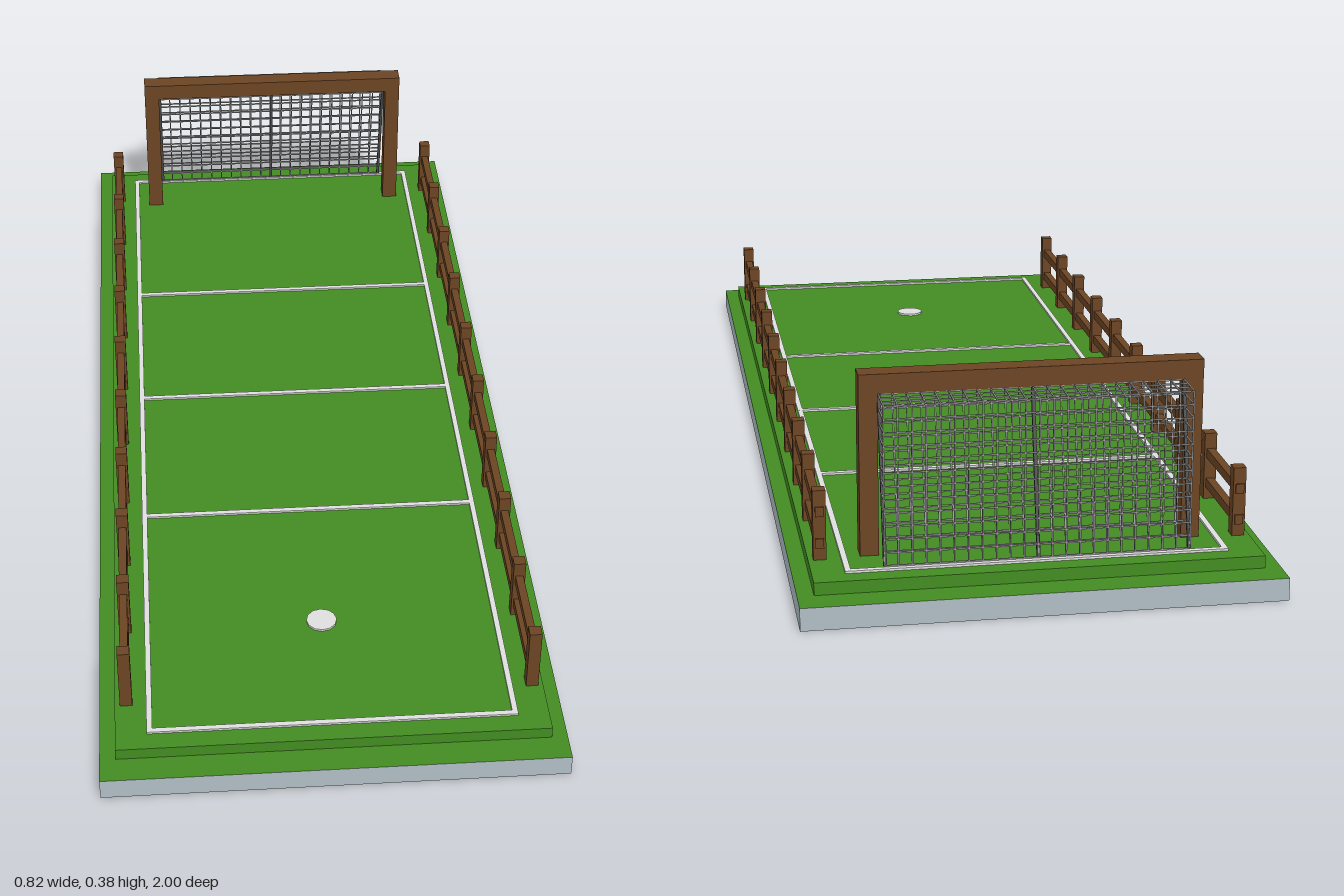
import * as THREE from 'three';

const material = (name, color, extra = {}) => {
  const m = new THREE.MeshStandardMaterial({ color, ...extra });
  m.name = name;
  return m;
};

export function createModel() {
  const model = new THREE.Group();
  model.name = 'goalPitch';
  const grass = material('grass green', 0x438c22);
  const stone = material('pale stone', 0xb0bec5);
  const wood = material('brown wood', 0x6b4423);
  const paint = material('white paint', 0xdedede);
  const cord = material('net grey', 0x9a9a9a);
  const iron = material('dark iron', 0x4a4a4a);

  const group = (name) => {
    const g = new THREE.Group();
    g.name = name;
    model.add(g);
    return g;
  };
  const box = (parent, name, mat, w, h, d, x, y, z) => {
    const m = new THREE.Mesh(new THREE.BoxGeometry(w, h, d), mat);
    m.name = name;
    m.position.set(x, y, z);
    parent.add(m);
    return m;
  };
  // Square bar between two points
  const bar = (parent, name, mat, t, a, b) => {
    const from = new THREE.Vector3(...a), to = new THREE.Vector3(...b);
    const m = box(parent, name, mat, t, t, from.distanceTo(to), 0, 0, 0);
    m.position.copy(from).add(to).multiplyScalar(0.5);
    m.quaternion.setFromUnitVectors(new THREE.Vector3(0, 0, 1), to.sub(from).normalize());
  };

  // Stone slab with a grassed top, and the raised turf
  box(model, 'baseSlab', [stone, stone, grass, stone, stone, stone], 0.816, 0.04, 2, 0, 0.02, 0);
  box(model, 'turf', grass, 0.76, 0.022, 1.9, 0, 0.051, 0);

  // Pitch markings
  const lines = group('pitchMarkings');
  for (const z of [-0.913, -0.432, -0.05, 0.332, 0.91])
    box(lines, 'crossLine', paint, 0.65, 0.004, 0.01, 0, 0.064, z);
  for (const x of [-0.32, 0.32])
    box(lines, 'sideLine', paint, 0.01, 0.004, 1.83, x, 0.064, -0.0015);
  const spot = new THREE.Mesh(new THREE.CylinderGeometry(0.028, 0.028, 0.004, 12), paint);
  spot.name = 'penaltySpot';
  spot.position.set(0, 0.064, 0.65);
  lines.add(spot);

  // Side fences
  for (const side of [-1, 1]) {
    const fence = group(side > 0 ? 'leftFence' : 'rightFence');
    const x = side * 0.36;
    for (let i = 0; i < 10; i++)
      box(fence, 'fencePost', wood, 0.022, 0.123, 0.022, x, 0.1235, 0.833 - i * 0.186);
    for (const y of [0.092, 0.148])
      box(fence, 'fenceRail', wood, 0.0145, 0.017, 1.69, x, y, -0.01);
  }

  // Goal frame
  const goal = group('goalFrame');
  for (const x of [-0.276, 0.276])
    box(goal, 'goalPost', wood, 0.032, 0.284, 0.036, x, 0.204, -0.828);
  box(goal, 'crossbar', wood, 0.584, 0.034, 0.038, 0, 0.363, -0.828);

  // Slanted supports
  const top = 0.345, low = 0.068, front = -0.845, back = -0.91;
  for (const x of [-0.258, 0, 0.258])
    bar(goal, 'support', iron, 0.006, [x, top, front], [x, low, back]);

  // Net: slanted sheet, upright back sheet, roof and side strands
  const net = group('net');
  const t = 0.0025, half = 0.259, cols = 22, rows = 12;
  for (let i = 0; i <= cols; i++) {
    const x = -half + (2 * half * i) / cols;
    bar(net, 'slantedStrand', cord, t, [x, top, front], [x, low, back]);
    bar(net, 'backStrand', cord, t, [x, top, back], [x, low, back]);
    bar(net, 'roofStrand', cord, t, [x, top, front], [x, top, back]);
  }
  for (let j = 0; j <= rows; j++) {
    const k = j / rows;
    const y = top + (low - top) * k, z = front + (back - front) * k;
    box(net, 'slantedRow', cord, 2 * half, t, t, 0, y, z);
    box(net, 'backRow', cord, 2 * half, t, t, 0, y, back);
    if (j < rows)
      for (const x of [-half, half]) bar(net, 'sideStrand', cord, t, [x, y, z], [x, y, back]);
  }
  for (const z of [-0.867, -0.888]) box(net, 'roofRow', cord, 2 * half, t, t, 0, top, z);

  return model;
}
